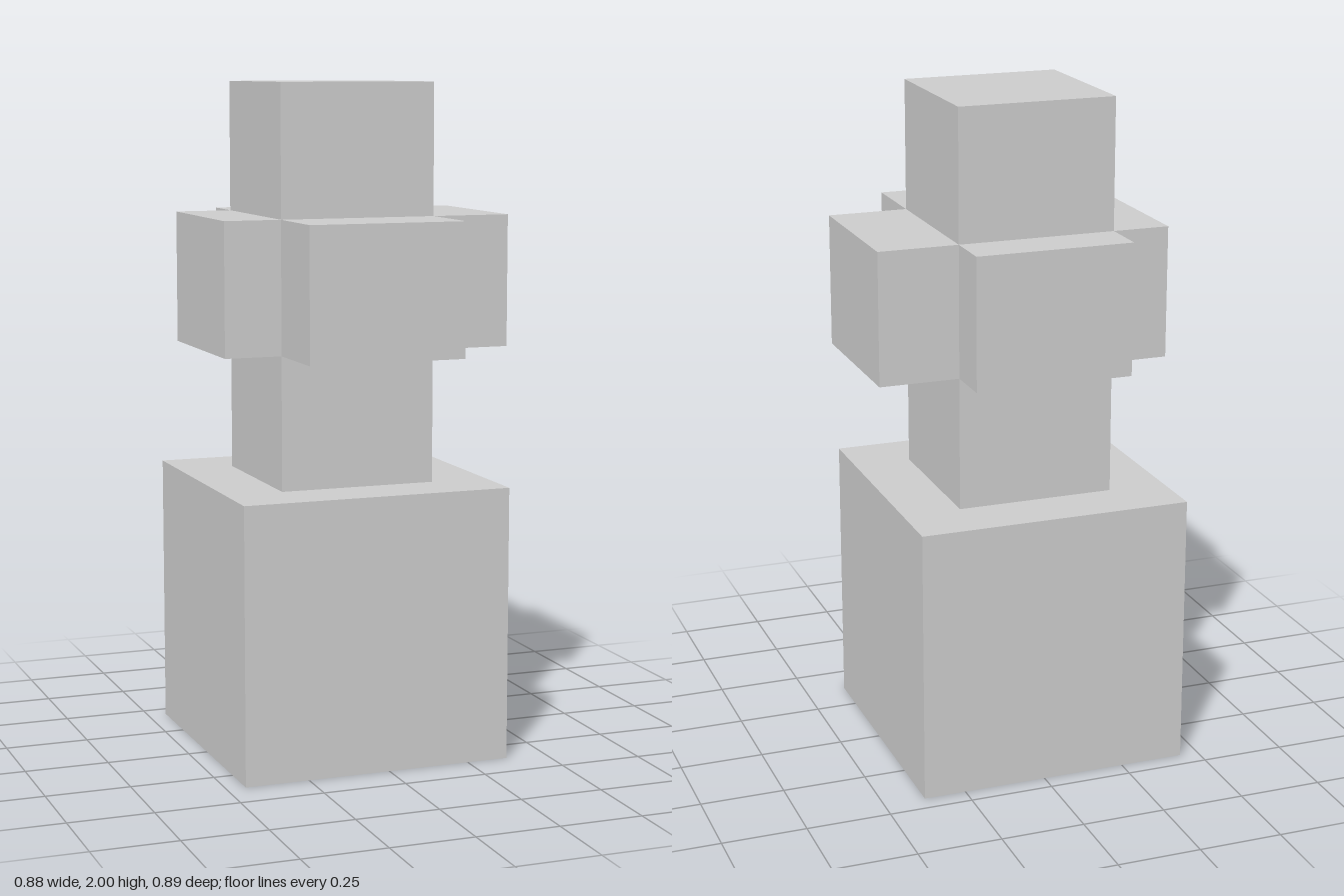
import * as THREE from 'three';

export function createModel() {
  const group = new THREE.Group();
  const material = new THREE.MeshStandardMaterial({ color: 0xcccccc, flatShading: true });

  // Adds a box given its extents along each axis
  function addBlock(name, [x0, x1], [y0, y1], [z0, z1]) {
    const mesh = new THREE.Mesh(new THREE.BoxGeometry(x1 - x0, y1 - y0, z1 - z0), material);
    mesh.position.set((x0 + x1) / 2, (y0 + y1) / 2, (z0 + z1) / 2);
    mesh.name = name;
    group.add(mesh);
  }

  const core = [-0.27, 0.202];     // column width, same in x and z
  const armHeight = [1.217, 1.61];

  // Large cube at the bottom and the slim column on it
  addBlock('base', [-0.443, 0.376], [0, 0.82], [-0.443, 0.374]);
  addBlock('column', core, [0.82, 2], core);

  // Four arms around the column
  addBlock('leftArm', [core[1], 0.441], armHeight, core);
  addBlock('rightArm', [-0.441, core[0]], armHeight, core);
  addBlock('frontArm', core, armHeight, [core[1], 0.443]);
  addBlock('backArm', core, armHeight, [-0.416, core[0]]);

  return group;
}
